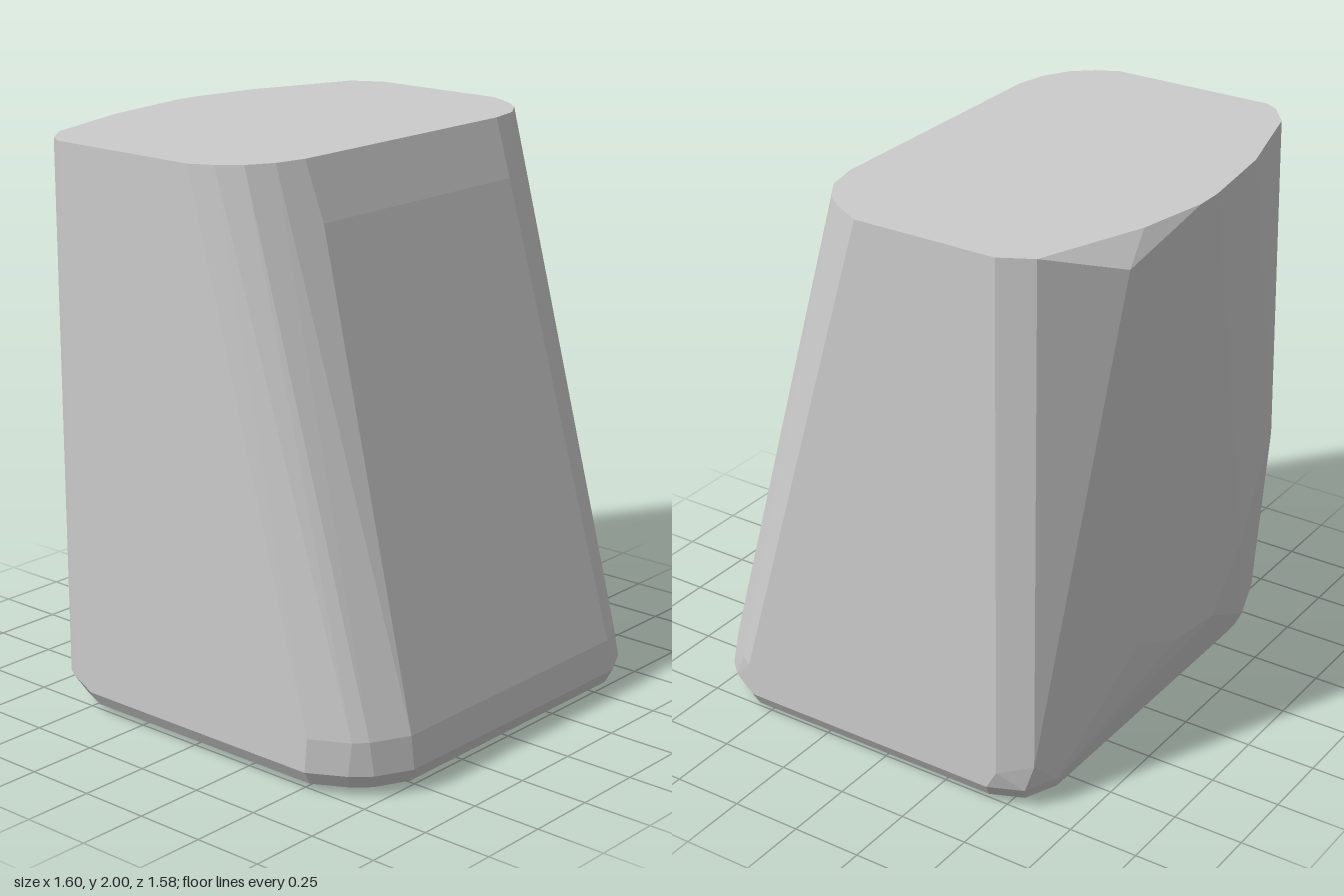
import * as THREE from 'three';
import { ConvexGeometry } from 'three/addons/geometries/ConvexGeometry.js';

// Horizontal ring with faceted corners: half width, front z, back z, corner reach
function ring(y, hx, zf, zb, cf, cb) {
  const pts = [];
  for (const s of [-1, 1]) {
    for (const [u, v] of [[0, 1], [0.27, 0.5], [0.5, 0.25], [1, 0]]) {
      pts.push(new THREE.Vector3(s * (hx - u * cf), y, zf - v * cf));
    }
    for (const [u, v] of [[0, 1], [0.3, 0.3], [1, 0]]) {
      pts.push(new THREE.Vector3(s * (hx - u * cb), y, zb + v * cb));
    }
  }
  return pts;
}

export function createModel() {
  const group = new THREE.Group();

  // Flat top outline, [x, z]
  const top = [
    [-0.8, 0.06], [-0.76, 0.14], [-0.7, 0.21], [-0.61, 0.26], [-0.5, 0.285],
    [0.48, 0.285], [0.6, 0.26], [0.69, 0.2], [0.74, 0.14], [0.8, 0.03],
    [0.8, -0.49], [0.74, -0.6], [0.36, -0.74], [0.1, -0.79], [0, -0.79],
    [-0.32, -0.75], [-0.68, -0.65], [-0.77, -0.58], [-0.8, -0.53],
  ].map(([x, z]) => new THREE.Vector3(x, 2, z));

  // Irregular bulge of the back wall, [x, y, z]
  const back = [
    [0.48, 1.91, -0.765], [-0.59, 0.88, -0.72], [0.31, 0.48, -0.73],
    [0.05, 0.36, -0.73], [-0.19, 0.33, -0.73], [-0.39, 0.52, -0.725],
    [0.8, 0.15, -0.49], [0.74, 0.18, -0.6], [-0.8, 0.12, -0.53], [-0.77, 0.12, -0.58],
  ].map((p) => new THREE.Vector3(...p));

  // Sloping front wall: lower edge and slight bulge under the top
  const front = [
    ...[[-0.8, 0.55], [-0.73, 0.68], [-0.69, 0.72], [-0.56, 0.785],
      [0.52, 0.785], [0.65, 0.72], [0.77, 0.6], [0.8, 0.55]].map(([x, z]) => new THREE.Vector3(x, 0.2, z)),
    new THREE.Vector3(-0.49, 1.8, 0.353), new THREE.Vector3(0.47, 1.8, 0.353),
  ];

  // Bevelled foot
  const foot = [
    ...ring(0, 0.72, 0.72, -0.58, 0.23, 0.16),
    ...ring(0.03, 0.77, 0.765, -0.6, 0.23, 0.16),
    ...ring(0.08, 0.8, 0.79, -0.62, 0.25, 0.17),
  ];

  const geometry = new ConvexGeometry([...top, ...back, ...front, ...foot]);
  const body = new THREE.Mesh(
    geometry,
    new THREE.MeshStandardMaterial({ color: 0xcccccc, flatShading: true }),
  );
  body.name = 'taperedBlock';
  group.add(body);
  return group;
}
